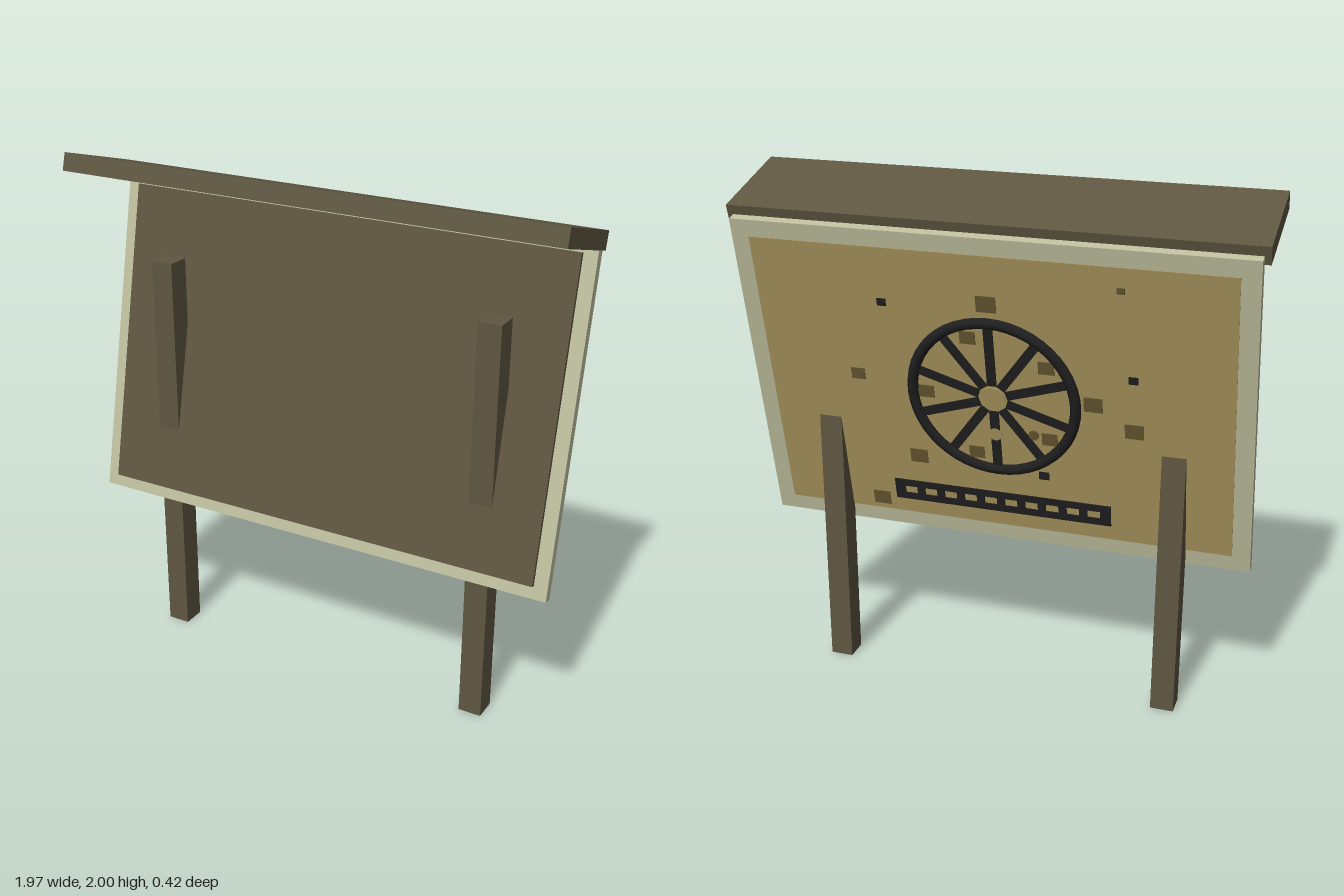
import * as THREE from 'three';

const mat = (name, color) => {
  const m = new THREE.MeshStandardMaterial({ color });
  m.name = name;
  return m;
};

export function createModel() {
  const wood = mat('dark wood', 0x5f5741);
  const cream = mat('cream frame', 0xc0c0a0);
  const tan = mat('tan panel', 0xaa955f);
  const black = mat('black', 0x1f1f20);
  const olive = mat('olive', 0x66582f);

  const model = new THREE.Group();
  model.name = 'noticeBoard';
  const add = (parent, name, geo, material, x = 0, y = 0, z = 0) => {
    const mesh = new THREE.Mesh(geo, material);
    mesh.name = name;
    mesh.position.set(x, y, z);
    parent.add(mesh);
    return mesh;
  };
  const box = (w, h, d) => new THREE.BoxGeometry(w, h, d);

  // Two upright posts passing through the leaning board
  for (const s of [-1, 1]) {
    add(model, s > 0 ? 'leftPost' : 'rightPost', box(0.09, 1.585, 0.092), wood, s * 0.675, 0.7925, 0.002);
  }

  // Sloping roof plank
  add(model, 'roof', box(1.97, 0.068, 0.39), wood, 0, 1.915, 0.0125).rotation.x = -0.277;

  // Leaning board: frame, front panel and back panel
  const board = new THREE.Group();
  board.name = 'board';
  board.position.set(0, 1.227, -0.0575);
  board.rotation.x = -0.211;
  model.add(board);
  add(board, 'frame', box(1.925, 1.286, 0.037), cream);
  add(board, 'frontPanel', box(1.82, 1.188, 0.02), wood, 0, 0, 0.0235);
  const back = -0.0215; // outer surface of the back panel
  add(board, 'backPanel', box(1.788, 1.155, 0.006), tan, 0, 0, back + 0.003);

  // Wheel on the back: rim, ten spokes and a hub
  const wheel = new THREE.Group();
  wheel.name = 'wheel';
  wheel.position.z = back;
  board.add(wheel);
  add(wheel, 'rim', new THREE.TorusGeometry(0.314, 0.021, 10, 48), black);
  for (let i = 0; i < 10; i++) {
    const a = (i * Math.PI) / 5;
    const spoke = add(wheel, 'spoke', box(0.036, 0.25, 0.006), black,
      Math.sin(a) * 0.18, Math.cos(a) * 0.18, -0.002);
    spoke.rotation.z = -a;
  }
  const disc = (name, r, material, x, y) => {
    const geo = new THREE.CylinderGeometry(r, r, 0.005, 24).rotateX(Math.PI / 2);
    add(board, name, geo, material, x, y, back - 0.004);
  };
  disc('hub', 0.048, tan, 0, 0);
  disc('lightDot', 0.026, tan, 0, -0.155);
  disc('darkDot', 0.02, olive, -0.15, -0.14);

  // Slotted bar below the wheel
  const bar = new THREE.Shape();
  const rect = (path, x, y, w, h) => {
    path.moveTo(x - w / 2, y - h / 2);
    path.lineTo(x + w / 2, y - h / 2);
    path.lineTo(x + w / 2, y + h / 2);
    path.lineTo(x - w / 2, y + h / 2);
    path.closePath();
    return path;
  };
  rect(bar, 0, 0, 0.87, 0.09);
  for (let i = 0; i < 10; i++) bar.holes.push(rect(new THREE.Path(), (i - 4.5) * 0.082, 0, 0.05, 0.032));
  add(board, 'slottedBar', new THREE.ExtrudeGeometry(bar, { depth: 0.005, bevelEnabled: false }),
    black, 0, -0.468, back - 0.005);

  // Small patches scattered over the back: x, y, size
  const patch = (material) => ([x, y, s]) =>
    add(board, 'patch', box(s, s * 0.85, 0.003), material, x, y, back - 0.001);
  [[0, 0.39, 0.075], [0.53, 0.045, 0.055], [-0.38, 0.02, 0.07], [-0.53, -0.075, 0.07],
    [0.5, -0.525, 0.07], [0.32, -0.3, 0.07], [-0.49, 0.49, 0.028]].forEach(patch(olive));
  [[0.4, 0.36, 0.035], [-0.53, 0.14, 0.035], [-0.18, -0.32, 0.04]].forEach(patch(black));

  // Patches just inside the rim, between the spokes
  for (let i = 0; i < 10; i += 2) {
    const a = ((i + 0.5) * Math.PI) / 5;
    patch(olive)([Math.sin(a) * 0.26, Math.cos(a) * 0.26, 0.06]);
  }
  return model;
}
